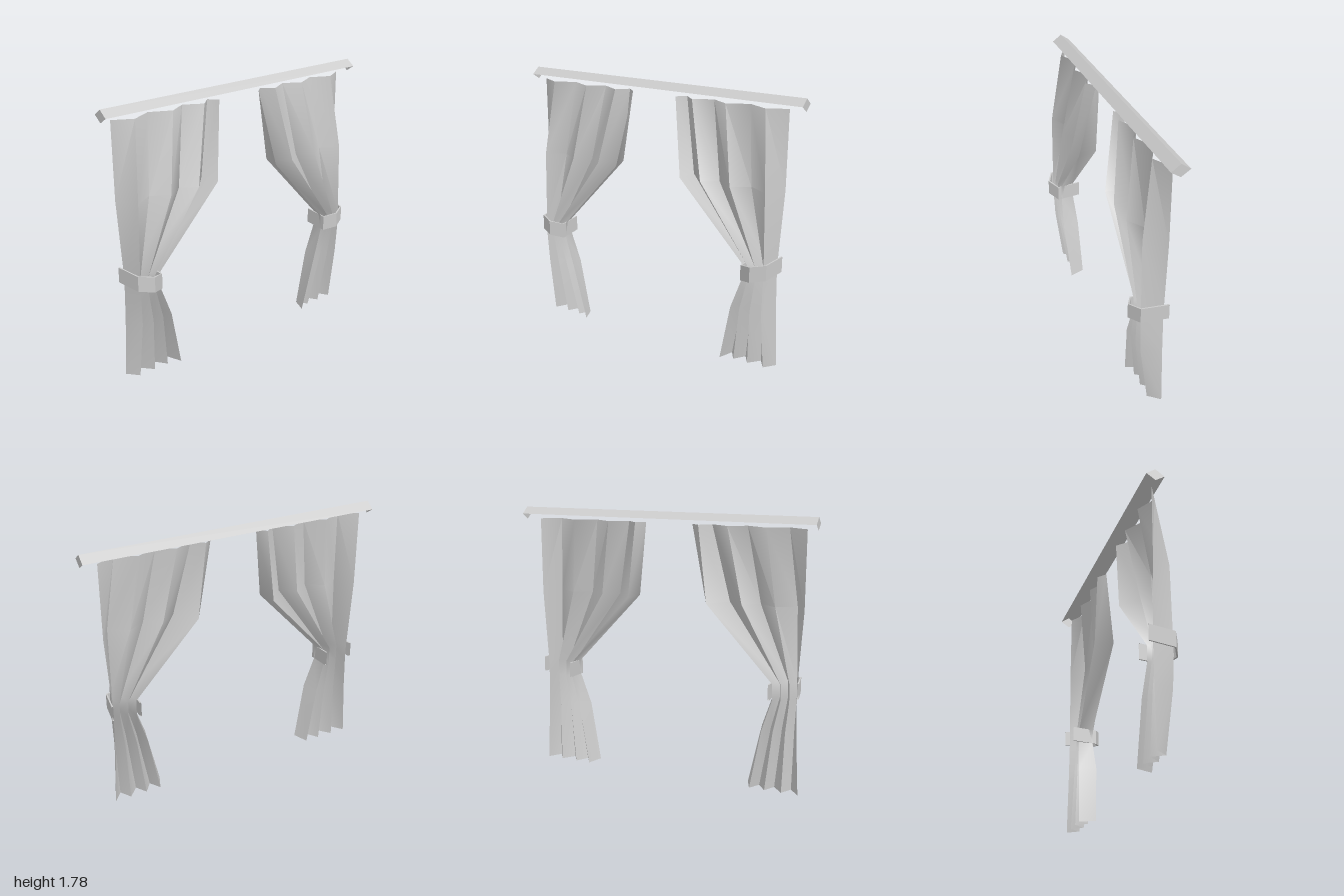
import * as THREE from 'three';
import { toCreasedNormals } from 'three/addons/utils/BufferGeometryUtils.js';

const cloth = new THREE.MeshStandardMaterial({ color: 0xcccccc, side: THREE.DoubleSide });

// Surface through rows of points, every row with the same count
function sheet(rows, crease) {
  const n = rows[0].length, index = [];
  for (let r = 0; r < rows.length - 1; r++) {
    for (let c = 0; c < n - 1; c++) {
      const a = r * n + c, b = a + n;
      index.push(a, a + 1, b, a + 1, b + 1, b);
    }
  }
  const geo = new THREE.BufferGeometry();
  geo.setAttribute('position', new THREE.Float32BufferAttribute(rows.flat(2), 3));
  geo.setIndex(index);
  return toCreasedNormals(geo, crease);
}

function named(name, geo) {
  const mesh = new THREE.Mesh(geo, cloth);
  mesh.name = name;
  return mesh;
}

// Pleat positions across the cloth, outer edge to inner edge
const top = [0, 0.166, 0.34, 0.52, 0.67, 0.83, 0.925, 1];
const belly = [0, 0.112, 0.3, 0.47, 0.63, 0.78, 0.955, 1];
const even = [0, 0.17, 0.3, 0.48, 0.61, 0.76, 0.89, 1];

// Height, outer x, inner x, z of outer edge, back folds, front folds, inner fold, inner edge
const levels = [
  [1.71, 0.915, 0.16, -0.07, -0.07, -0.003, -0.07, -0.02, top],
  [1.21, 0.915, 0.245, -0.07, -0.01, 0.063, -0.068, 0.063, belly],
  [0.72, 0.887, 0.695, -0.07, -0.035, 0.065, -0.045, 0.05, even],
  [0.61, 0.887, 0.7, -0.07, -0.035, 0.066, -0.045, 0.05, even],
  [0.4, 0.893, 0.63, -0.07, -0.05, 0.058, -0.06, 0.06, even],
  [0, 0.915, 0.55, -0.07, -0.07, 0.005, -0.07, 0.035, even],
];

function makeCurtain() {
  const rows = levels.map(([y, outer, inner, zOuter, zBack, zFront, zFold, zInner, pleats]) => {
    const z = [zOuter, zFront, zBack, zFront, zBack, zFront, zFold, zInner];
    return pleats.map((u, i) => [outer + (inner - outer) * u, y, z[i]]);
  });
  return named('curtainCloth', sheet(rows, 1.1));
}

// Thin band wrapped round the front of the gathered cloth, open at the back
function makeTieBand() {
  const outside = [[0.905, 0.755, -0.1], [0.877, 0.75, 0.075], [0.785, 0.735, 0.122],
    [0.7, 0.715, 0.075], [0.703, 0.725, -0.09]];
  const inset = [[-0.01, 0], [-0.008, -0.006], [0, -0.011], [0.008, -0.006], [0.01, 0]];
  const inside = outside.map(([x, y, z], i) => [x + inset[i][0], y, z + inset[i][1]]);
  const lower = (line) => line.map(([x, y, z]) => [x, y - 0.103, z]);
  return named('tieBand', sheet([outside, lower(outside), lower(inside), inside, outside], 0.3));
}

// Pitched rail, open underneath, closed by diamond end plates
function makeRail() {
  const rail = new THREE.Group();
  rail.name = 'rail';
  const ridge = [[1.743, -0.008], [1.785, -0.067], [1.743, -0.126]];
  rail.add(named('railCover', sheet(ridge.map(([y, z]) => [[-1, y, z], [1, y, z]]), 0.3)));
  for (const x of [-1, 1]) {
    const cap = [
      [[x, 1.785, -0.067], [x, 1.743, -0.008]],
      [[x, 1.743, -0.126], [x, 1.704, -0.067]],
    ];
    rail.add(named('railEnd', sheet(cap, 0.3)));
  }
  return rail;
}

export function createModel() {
  const model = new THREE.Group();
  model.name = 'windowCurtains';
  model.add(makeRail());
  for (const side of [1, -1]) {
    const half = new THREE.Group();
    half.name = side > 0 ? 'leftCurtain' : 'rightCurtain';
    half.add(makeCurtain(), makeTieBand());
    half.scale.x = side;
    half.position.x = -0.02;
    model.add(half);
  }
  return model;
}
